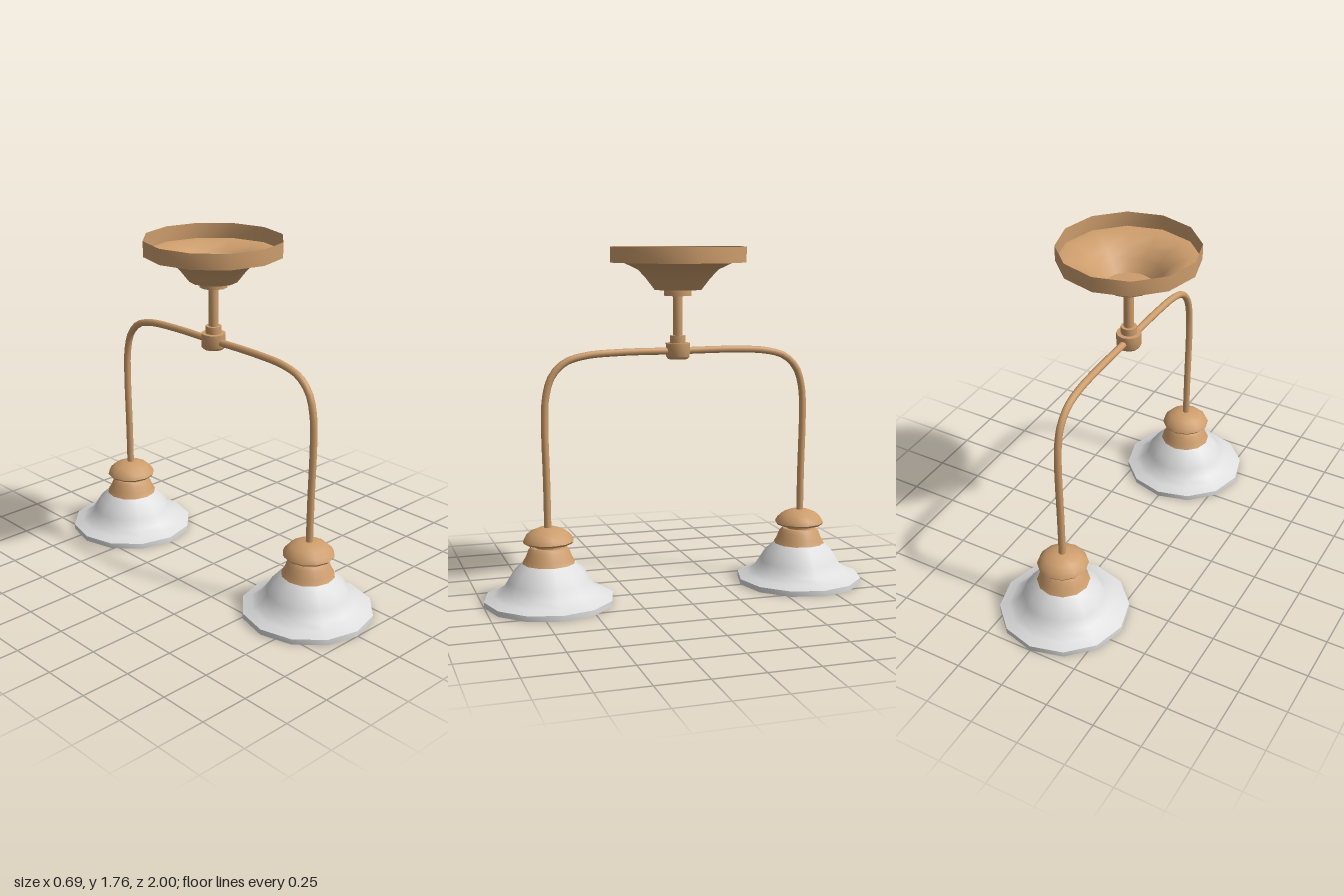
import * as THREE from 'three';
import { toCreasedNormals } from 'three/addons/utils/BufferGeometryUtils.js';

const copper = new THREE.MeshStandardMaterial({ color: 0xcd9d6c, side: THREE.DoubleSide });
copper.name = 'copper';
const glass = new THREE.MeshStandardMaterial({ color: 0xdedede, side: THREE.DoubleSide });
glass.name = 'frosted glass';

// Turned part from [radius, height] pairs, listed bottom to top
function turned(name, profile, material, sides = 12) {
  const points = profile.map(([r, y]) => new THREE.Vector2(r, y));
  const geometry = toCreasedNormals(new THREE.LatheGeometry(points, sides), 0.8);
  const mesh = new THREE.Mesh(geometry, material);
  mesh.name = name;
  return mesh;
}

// One curved arm with its lamp, reaching towards +z
function createArm(name) {
  const arm = new THREE.Group();
  arm.name = name;

  const path = new THREE.CatmullRomCurve3([
    [0, 1.24], [0.3, 1.24], [0.48, 1.228], [0.58, 1.197], [0.645, 1.13],
    [0.675, 1.03], [0.682, 0.9], [0.677, 0.6], [0.675, 0.36],
  ].map(([z, y]) => new THREE.Vector3(0, y, z)));
  const tube = new THREE.Mesh(new THREE.TubeGeometry(path, 36, 0.018, 10), copper);
  tube.name = 'armTube';

  const lamp = new THREE.Group();
  lamp.name = 'lamp';
  lamp.position.z = 0.673;
  lamp.add(
    turned('socketDome', [
      [0, 0.306], [0.12, 0.306], [0.128, 0.316], [0.117, 0.338],
      [0.09, 0.363], [0.05, 0.38], [0, 0.385],
    ], copper),
    turned('socketNeck', [[0.07, 0.28], [0.07, 0.307]], copper),
    turned('socketBell', [
      [0, 0.206], [0.133, 0.206], [0.119, 0.228], [0.105, 0.265],
      [0.088, 0.285], [0, 0.285],
    ], copper),
    turned('shade', [
      [0.327, 0], [0.327, 0.028], [0.28, 0.045], [0.237, 0.07],
      [0.207, 0.115], [0.178, 0.162], [0.13, 0.206],
    ], glass),
  );
  arm.add(tube, lamp);
  return arm;
}

export function createModel() {
  const model = new THREE.Group();
  model.name = 'ceilingLamp';

  // Ceiling mount, open at the top
  model.add(
    turned('canopy', [
      [0, 1.545], [0.12, 1.545], [0.163, 1.6], [0.205, 1.645],
      [0.28, 1.68], [0.345, 1.68], [0.345, 1.757],
    ], copper),
    turned('canopyCollar', [[0, 1.515], [0.07, 1.515], [0.07, 1.545]], copper),
    turned('stem', [[0.025, 1.3], [0.025, 1.516]], copper),
    turned('hub', [
      [0, 1.2], [0.05, 1.2], [0.061, 1.213], [0.062, 1.28],
      [0.04, 1.28], [0.04, 1.317], [0, 1.317],
    ], copper),
  );

  // Two mirrored arms
  const frontArm = createArm('frontArm');
  const backArm = createArm('backArm');
  backArm.rotation.y = Math.PI;
  model.add(frontArm, backArm);
  return model;
}
